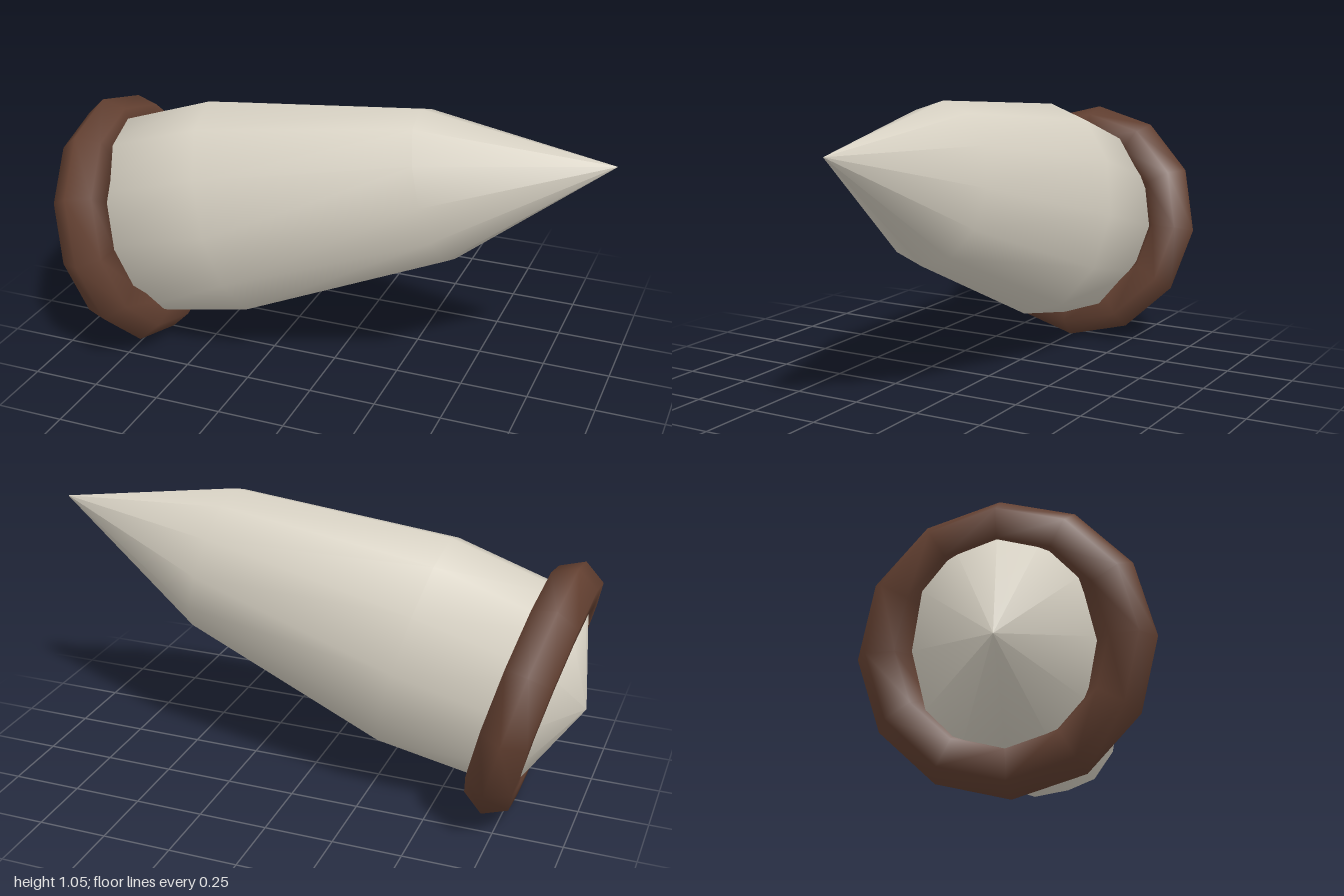
import * as THREE from 'three';

export function createModel() {
  const model = new THREE.Group();
  model.name = 'mountedHorn';

  const bone = new THREE.MeshStandardMaterial({ color: 0xd8d2c4 });
  bone.name = 'bone';
  const brown = new THREE.MeshStandardMaterial({ color: 0x634031 });
  brown.name = 'brown';

  // Horn: turned around its long axis, narrowed sideways to an oval section
  const profile = [
    [0, -0.195], // shallow cone closing the back
    [0.38, -0.057],
    [0.411, 0.44],
    [0.283, 1.237],
    [0, 1.874], // tip
  ].map(([r, h]) => new THREE.Vector2(r, h));
  const hornGeometry = new THREE.LatheGeometry(profile, 12);
  hornGeometry.scale(1, 1, 0.75);
  const horn = new THREE.Mesh(hornGeometry, bone);
  horn.name = 'horn';

  // Collar: round ring with a six-sided section around the base
  const collarGeometry = new THREE.TorusGeometry(0.381, 0.095, 6, 12);
  collarGeometry.rotateX(Math.PI / 2);
  const collar = new THREE.Mesh(collarGeometry, brown);
  collar.name = 'collar';

  // Lay both along +x, rising 15 degrees toward the tip
  const tilted = new THREE.Group();
  tilted.name = 'tiltedHorn';
  tilted.add(horn, collar);
  tilted.rotation.z = -THREE.MathUtils.degToRad(75);
  tilted.position.set(-0.81, 0.463, 0);
  model.add(tilted);

  return model;
}
